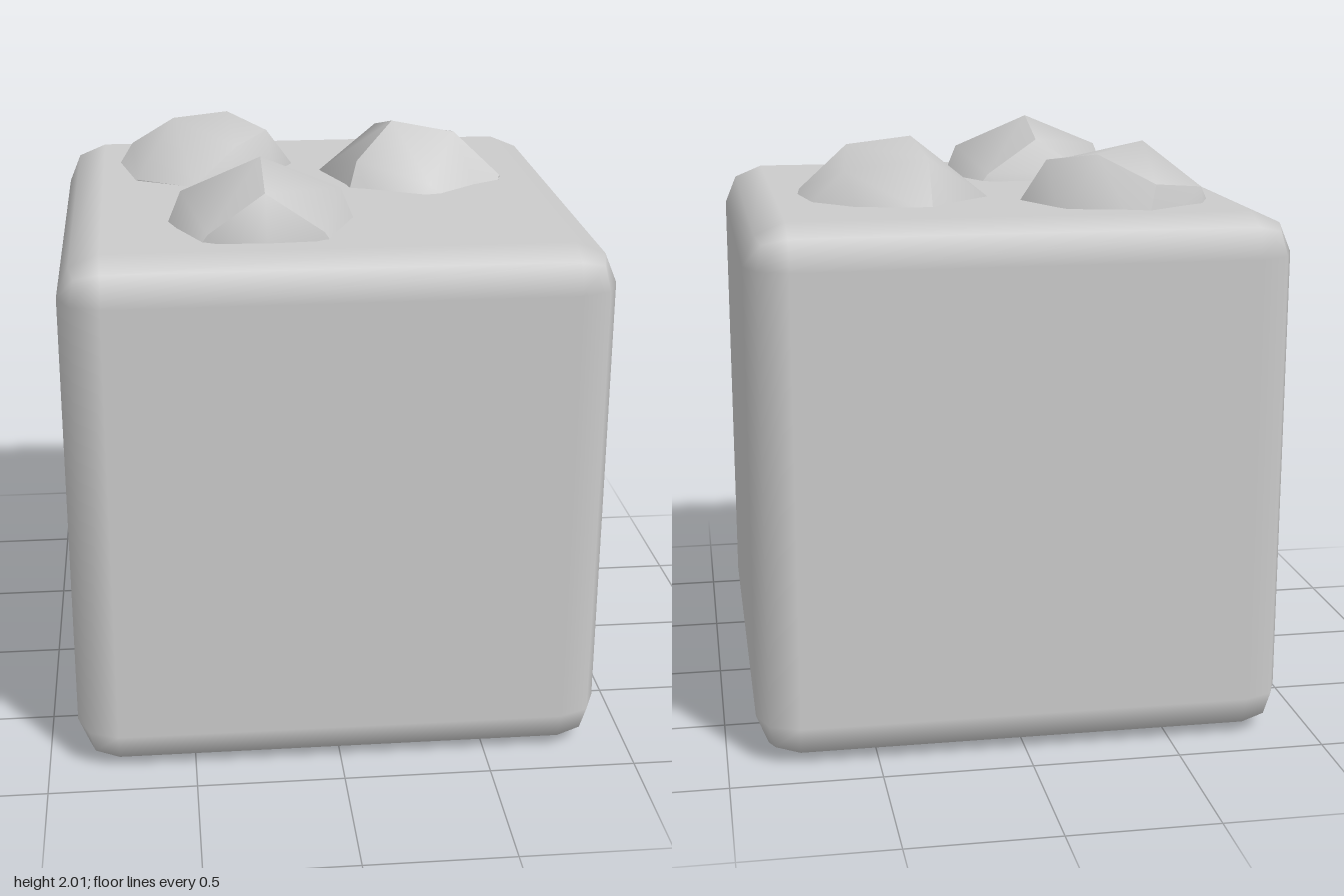
import * as THREE from 'three';
import { RoundedBoxGeometry } from 'three/addons/geometries/RoundedBoxGeometry.js';

const BLOCK = 1.8;       // nominal block size before the coarse rounding
const BLOCK_Y = 0.886;   // half of the block's real height
const RADIUS = 0.377;    // pebble radius

// A cube with 2 x 2 faces per side, swollen to a ball; its twelve edges stay creased.
function pebbleGeometry() {
  const geometry = new THREE.BoxGeometry(1, 1, 1, 2, 2, 2);
  const position = geometry.attributes.position;
  const point = new THREE.Vector3();
  for (let i = 0; i < position.count; i++) {
    point.fromBufferAttribute(position, i).setLength(RADIUS);
    position.setXYZ(i, point.x, point.y, point.z);
  }
  geometry.computeVertexNormals();
  return geometry;
}

// Rotation from two of the pebble's cube axes.
function orientation(u, v) {
  const x = new THREE.Vector3(...u).normalize();
  const z = x.clone().cross(new THREE.Vector3(...v)).normalize();
  const y = z.clone().cross(x);
  return new THREE.Matrix4().makeBasis(x, y, z);
}

export function createModel() {
  const model = new THREE.Group();
  model.name = 'blockWithPebbles';
  const material = new THREE.MeshStandardMaterial({ color: 0xcccccc });

  // Block with softened edges
  const block = new THREE.Mesh(new RoundedBoxGeometry(BLOCK, BLOCK, BLOCK, 1, 0.14), material);
  block.name = 'block';
  block.position.y = BLOCK_Y;
  model.add(block);

  // Three pebbles sunk into the top, each tilted its own way
  const geometry = pebbleGeometry();
  const pebbles = [
    { name: 'frontPebble', at: [-0.227, 1.623, 0.398], u: [1, 1, 0], v: [0, 0, 1] },
    { name: 'backRightPebble', at: [-0.385, 1.62, -0.393], u: [0.644, 0.308, -0.701], v: [0.69, 0.115, 0.713] },
    { name: 'backLeftPebble', at: [0.36, 1.62, -0.2], u: [0.063, 0.525, 0.849], v: [-0.88, 0.43, -0.2] },
  ];
  for (const { name, at, u, v } of pebbles) {
    const pebble = new THREE.Mesh(geometry, material);
    pebble.name = name;
    pebble.position.set(...at);
    pebble.quaternion.setFromRotationMatrix(orientation(u, v));
    model.add(pebble);
  }
  return model;
}
